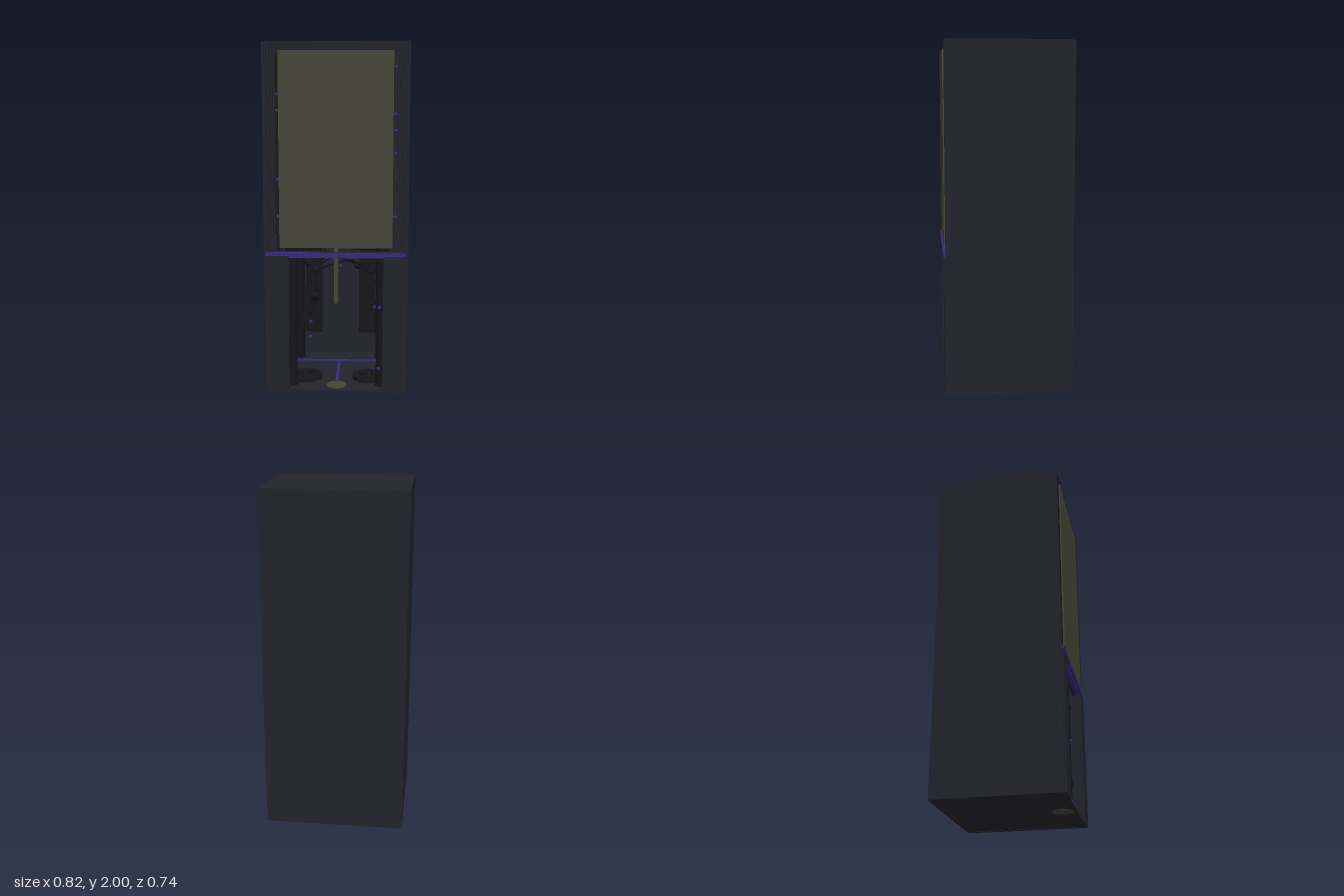
import * as THREE from 'three';

const mat = (name, color) => {
  const m = new THREE.MeshStandardMaterial({ color });
  m.name = name;
  return m;
};

export function createModel() {
  const shell = mat('dark cabinet', 0x22222c);
  const black = mat('black fittings', 0x15151a);
  const purple = mat('purple trim', 0x35297a);
  const pane = mat('olive glass', 0x454438);
  const model = new THREE.Group();
  model.name = 'cabinet';

  const add = (name, geometry, material, x = 0, y = 0, z = 0, parent = model) => {
    const m = new THREE.Mesh(geometry, material);
    m.name = name;
    m.position.set(x, y, z);
    parent.add(m);
    return m;
  };
  // Box given by its limits on each axis
  const box = (name, material, x0, x1, y0, y1, z0, z1) =>
    add(name, new THREE.BoxGeometry(x1 - x0, y1 - y0, z1 - z0), material,
      (x0 + x1) / 2, (y0 + y1) / 2, (z0 + z1) / 2);
  const pair = (name, material, x0, x1, ...rest) => {
    box(name + 'Left', material, x0, x1, ...rest);
    box(name + 'Right', material, -x1, -x0, ...rest);
  };
  const cyl = (name, material, r, h, x, y, z, n = 24) =>
    add(name, new THREE.CylinderGeometry(r, r, h, n), material, x, y + h / 2, z);
  const ball = (name, material, r, x, y, z) =>
    add(name, new THREE.SphereGeometry(r, 14, 10), material, x, y, z);
  const tube = (name, material, r, ...points) =>
    add(name, new THREE.TubeGeometry(new THREE.CatmullRomCurve3(
      points.map(p => new THREE.Vector3(...p))), 16, r, 8), material);

  // Outer shell
  pair('sidePanel', shell, 0.385, 0.41, 0, 2, -0.355, 0.355);
  box('topPanel', shell, -0.385, 0.385, 1.98, 2, -0.355, 0.355);
  box('floorPanel', shell, -0.385, 0.385, 0.002, 0.012, -0.35, 0.355);
  box('backPanel', shell, -0.4, 0.4, 0, 1.995, -0.37, -0.345);

  // Stepped frame around the upper window
  const frame = (w, y0, y1, t, z) => {
    const s = new THREE.Shape([[-w, y0], [w, y0], [w, y1], [-w, y1]]
      .map(p => new THREE.Vector2(...p)));
    s.holes.push(new THREE.Path([[-w + t, y0], [-w + t, y1 - t], [w - t, y1 - t], [w - t, y0]]
      .map(p => new THREE.Vector2(...p))));
    add('windowFrame', new THREE.ExtrudeGeometry(s, { depth: 0.02, bevelEnabled: false }),
      shell, 0, 0, z - 0.02);
  };
  frame(0.386, 0.82, 1.981, 0.016, 0.345);
  frame(0.371, 0.82, 1.966, 0.016, 0.333);
  frame(0.356, 0.82, 1.951, 0.014, 0.321);

  // Front window pane
  box('windowPane', pane, -0.32, 0.32, 0.85, 1.95, 0.352, 0.361);

  // Lower front with purple ledge
  pair('frontPost', shell, 0.27, 0.4, 0, 0.8, 0.325, 0.364);
  box('ledge', purple, -0.4, 0.4, 0.803, 0.82, 0.325, 0.367);
  box('ledgeLip', purple, -0.27, 0.27, 0.79, 0.803, 0.33, 0.352);

  // Corner columns with collars
  for (const x of [-0.265, 0.265]) for (const z of [-0.24, 0.26]) {
    cyl('column', black, 0.034, 1.96, x, 0.012, z);
    for (const y of [0.012, 0.22, 0.5, 0.7]) cyl('collar', black, 0.039, 0.025, x, y, z);
  }

  // Back wall panels and rails
  pair('backWallPanel', black, 0.12, 0.23, 0.15, 0.72, -0.345, -0.338);
  pair('backRail', black, 0.235, 0.255, 0.012, 0.8, -0.345, -0.325);

  // Floor trim, lamp and turntables
  box('floorCrossStrip', purple, -0.385, 0.385, 0.012, 0.02, -0.17, -0.155);
  box('floorLongStrip', purple, -0.009, 0.009, 0.012, 0.02, -0.155, 0.23);
  cyl('floorLamp', pane, 0.06, 0.016, 0, 0, 0.275, 32);
  for (const s of [-1, 1]) {
    cyl('floorDisc', black, 0.1, 0.02, s * 0.19, 0.012, 0.14, 32);
    for (const d of [-0.035, 0.035]) cyl('discKnob', black, 0.022, 0.022, s * 0.19 + d, 0.032, 0.14, 12);
  }

  // Hanging light rod
  box('lightRod', pane, -0.012, 0.012, 0.52, 0.88, 0.3, 0.322);

  // Hanging cables with joints
  const joints = [[-0.18, 0.71, 0.1], [-0.13, 0.68, 0.15], [0.12, 0.7, 0.12], [0.2, 0.68, 0.18]];
  joints.forEach(([x, y, z], i) => {
    ball('cableJoint', black, 0.02, x, y, z);
    tube('cable', black, 0.006, [x, y, z], [x * 0.5, 0.74, z], [-x * 0.6, 0.78, z - 0.05], [-x, 0.88, z - 0.1]);
    tube('cable', black, 0.006, [x, y, z], [x * 1.2, 0.75, 0.05], [x * 1.25, 0.85, 0]);
    if (i) tube('cable', black, 0.005, joints[i - 1], [x - 0.05, 0.73, z], [x, y, z]);
  });
  tube('armCable', black, 0.005, [-0.13, 0.68, 0.15], [-0.122, 0.6, 0.15], [-0.135, 0.52, 0.15]);
  ball('armJoint', black, 0.026, -0.135, 0.52, 0.15);
  tube('arm', black, 0.012, [-0.135, 0.52, 0.15], [-0.15, 0.46, 0.15], [-0.17, 0.39, 0.15]);

  // Small purple lights
  const lights = [[-0.16, 0.36, 0.15], [0.22, 0.44, 0.1], [0.25, 0.49, 0.3], [-0.2, 0.12, -0.33],
    [0.245, 0.12, 0.29], [0, 0.6, -0.33], [0.1, 0.61, -0.33]];
  for (const y of [1.02, 1.23, 1.62, 1.71]) lights.push([-0.335, y, 0.3]);
  for (const y of [1.02, 1.38, 1.51, 1.6, 1.86]) lights.push([0.335, y, 0.3]);
  for (const [x, y, z] of lights) ball('light', purple, 0.011, x, y, z);

  return model;
}
